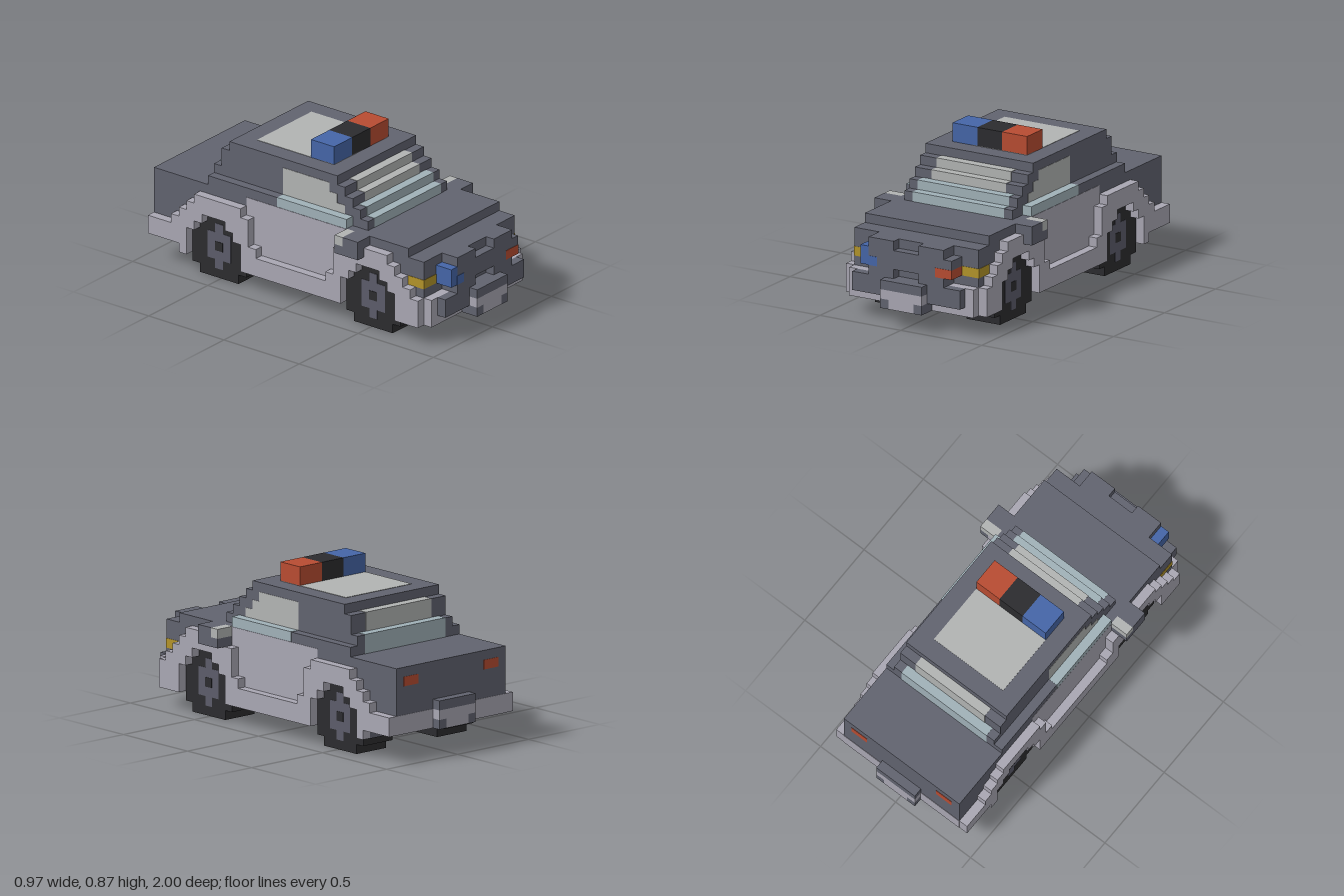
import * as THREE from 'three';

const V = 2 / 39; // one block
const E = 0.04;   // overlay thickness, in blocks

const mat = (color) => new THREE.MeshStandardMaterial({ color, flatShading: true });
const M = {
  dark: mat(0x61636f), white: mat(0xa9a7b3), black: mat(0x2c2c2f), hub: mat(0x5c5c6a),
  glass: mat(0xb2b4b3), tint: mat(0xa0b1b8), blue: mat(0x4566a8), red: mat(0xb84c32), yellow: mat(0xb3942a),
};

export function createModel() {
  const car = new THREE.Group();
  car.name = 'car';

  // box given by its limits in block units
  const box = (name, m, x0, x1, y0, y1, z0, z1) => {
    const mesh = new THREE.Mesh(
      new THREE.BoxGeometry((x1 - x0) * V, (y1 - y0) * V, (z1 - z0) * V), M[m]);
    mesh.position.set((x0 + x1) / 2 * V, (y0 + y1) / 2 * V, (z0 + z1) / 2 * V);
    mesh.name = name;
    car.add(mesh);
  };
  // centred across x
  const mid = (name, m, w, ...r) => box(name, m, -w, w, ...r);
  // mirrored on both sides
  const pair = (name, m, x0, x1, ...r) => {
    box(name, m, x0, x1, ...r);
    box(name, m, -x1, -x0, ...r);
  };

  // main body
  mid('body', 'dark', 7.5, 2, 10, -14.5, 14.5);
  mid('trunk', 'dark', 7.5, 3, 10, -18.5, -14.5);
  mid('noseCore', 'dark', 7.5, 2, 9, 14.5, 16.5);
  mid('underside', 'black', 7.5, 2 - E, 2.5, -14.5, 16.5);
  mid('rearUnderside', 'black', 7.5, 3 - E, 3.5, -18.4, -14.5);

  // fenders: y0, y1, outer edge front, outer edge rear, hole outer, hole inner, inner edge
  const fenderRows = [
    [2, 3, 16.5, 14.5, 13.5, 6.5, 6.5],
    [3, 4, 16.5, 18.5, 13.5, 6.5, 6.5],
    [4, 5, 16.5, 18.5, 13.5, 6.5, 4.5],
    [5, 6, 15.5, 15.5, 12.5, 7.5, 5.5],
    [6, 7, 14.5, 14.5, 11.5, 8.5, 5.5],
    [7, 8, 13.5, 13.5, 10, 10, 5.5],
    [8, 9, 12.5, 12.5, 10, 10, 6.5],
  ];
  for (const [y0, y1, front, rear, ho, hi, inner] of fenderRows) {
    pair('frontFender', 'white', 7.5, 8.5, y0, y1, ho, front);
    pair('rearFender', 'white', 7.5, 8.5, y0, y1, -rear, -ho);
    if (hi > inner) {
      pair('frontFender', 'white', 7.5, 8.5, y0, y1, inner, hi);
      pair('rearFender', 'white', 7.5, 8.5, y0, y1, -hi, -inner);
    }
  }
  pair('sill', 'white', 7.5, 8.5, 2, 4, -6.5, 6.5);
  pair('door', 'white', 7, 7.5 + E, 4, 10 - E, -6.5, 6.5);

  // wheels
  for (const z of [10, -10]) {
    const tyreRows = [[0, 1, 2.5], [1, 5, 3.5], [5, 6, 2.5], [6, 7, 1.5]];
    for (const [y0, y1, r] of tyreRows) pair('tyre', 'black', 3.5, 7.5 + E, y0, y1, z - r, z + r);
    pair('hub', 'hub', 7, 7.5 + 2 * E, 2, 5, z - 1.5, z + 1.5);
    pair('hubArm', 'hub', 7, 7.5 + 2 * E, 1, 6, z - 0.5, z + 0.5);
    pair('hubCap', 'black', 7, 7.5 + 3 * E, 3, 4, z - 0.5, z + 0.5);
  }

  // cabin in steps: y, front z, rear z, windscreen half width
  const cabinRows = [
    [10, 8.5, -11.5, 5.5, 'tint'], [11, 7.5, -11.5, 5.5, 'tint'],
    [12, 6.5, -10.5, 4.5, 'glass'], [13, 5.5, -10.5, 4.5, 'glass'],
  ];
  for (const [y, f, r, w, m] of cabinRows) {
    mid('cabin', 'dark', 6.5, y, y + 1, r, f);
    mid('windscreen', m, w, y, y + 1 + E, r - E, f + E);
    const side = y === 10 ? 7.5 : 6.5;
    pair('sideWindow', y === 10 ? 'tint' : 'glass', 6, side + E, y, y + 1 + (y === 10 ? E : 0), -2.5, f - 2);
  }
  pair('cabinShoulder', 'dark', 6.5, 7.5, 10, 11, -11.5, 6.5);
  mid('roof', 'dark', 6.5, 14, 15, -9.5, 4.5);
  mid('roofPanel', 'glass', 4.5, 14.5, 15 + E, -7.5, 2.5);

  // light bar
  box('lightBarBlue', 'blue', -4.5, -1.5, 15, 17, -0.5, 2.5);
  box('lightBarCentre', 'black', -1.5, 1.5, 15, 17, -0.5, 2.5);
  box('lightBarRed', 'red', 1.5, 4.5, 15, 17, -0.5, 2.5);

  // door mirrors
  pair('mirrorHousing', 'dark', 7.5, 9.5, 8, 10, 7.5, 9.5);
  pair('mirrorBase', 'dark', 7.5, 9.5, 8, 9, 6.5, 7.5);
  pair('mirrorGlass', 'glass', 7.5, 9.5, 9, 10, 6.5, 7.5);

  // nose and grille
  mid('frontApron', 'white', 7.5, 2, 5, 16.5, 17.5);
  mid('frontBumper', 'dark', 6.5, 3, 5, 17.5, 18.5);
  mid('grilleBack', 'dark', 4.5, 5, 9, 16.5, 17.5);
  mid('grilleBar', 'dark', 1.5, 6, 8, 17.5, 18.5);
  pair('grilleBlock', 'dark', 1.5, 4.5, 5, 9, 16.5, 18.5);
  box('grilleEnd', 'dark', 4.5, 5.5, 7, 8, 16.5, 18.5);
  box('frontLightBlue', 'blue', -5.5, -4.5, 6, 8, 16.5, 18.5);
  box('frontLightBlue', 'blue', -4.5 - E, -3.5, 6, 7, 17, 18.5 + E);
  box('frontLightRed', 'red', 3.5, 5.5, 6, 7, 16.5, 18.5 + E);
  pair('headlight', 'yellow', 5.5, 7.5 + E, 6, 7, 14.5, 16.5 + E);

  // bumper plates, front and rear
  const plate = (name, y, z0, z1) => {
    mid(name, 'dark', 2.5, y + 2, y + 3, z0, z1);
    mid(name, 'white', 2.5, y + 1, y + 2, z0, z1);
    mid(name, 'white', 1.5, y, y + 1, z0, z1);
    pair(name, 'dark', 1.5, 2.5, y, y + 1, z0, z1);
  };
  plate('frontPlate', 2, 17.5, 19.5);
  plate('rearPlate', 3, -19.5, -18.5);

  // tail
  mid('rearApron', 'white', 7.5, 3, 5, -18.5 - E, -18);
  pair('tailLight', 'red', 4.5, 6.5, 8, 9, -18.5 - E, -18);

  return car;
}
